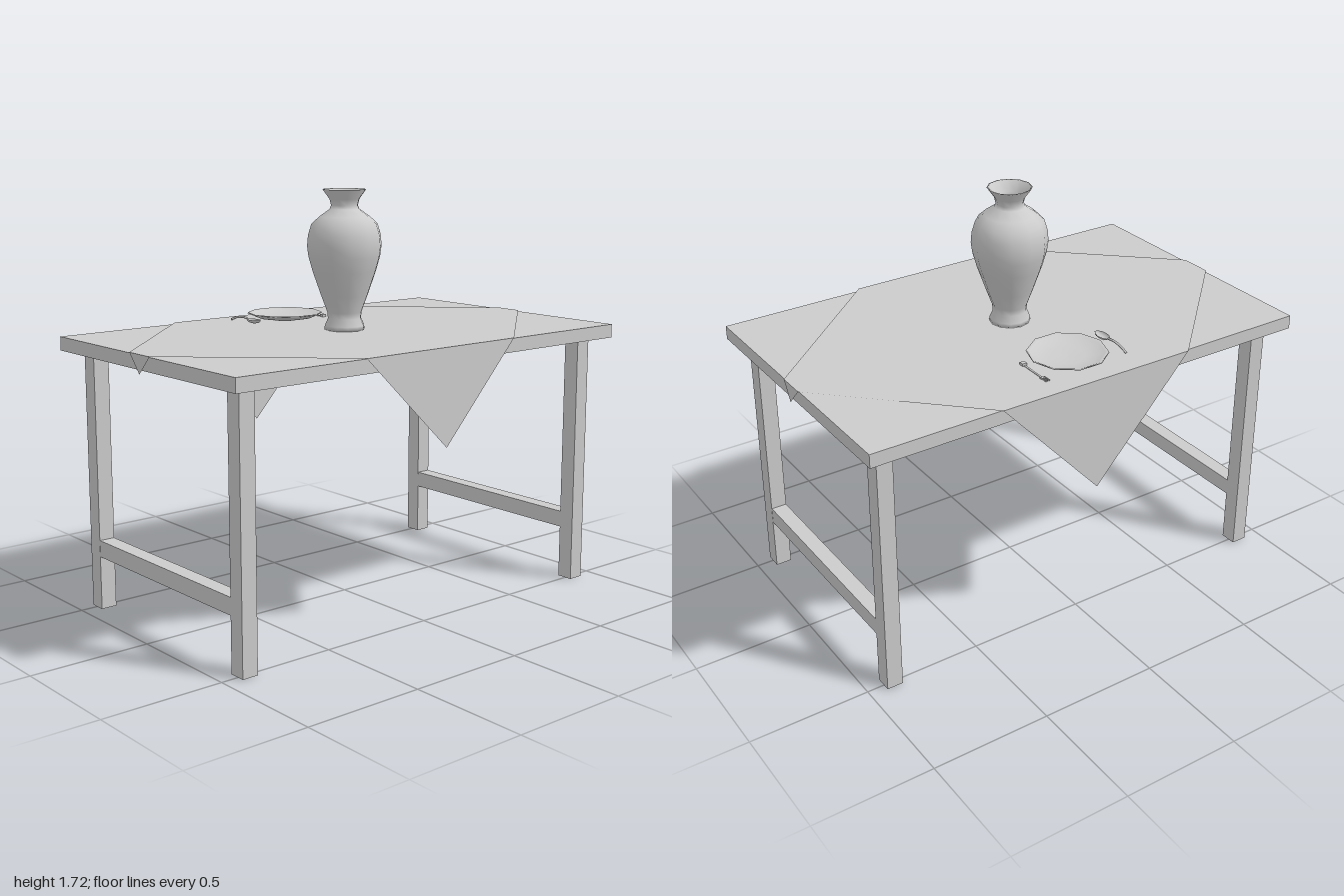
import * as THREE from 'three';

const grey = new THREE.MeshStandardMaterial({ color: 0xcccccc });
const flat = new THREE.MeshStandardMaterial({ color: 0xcccccc, flatShading: true });
const thin = new THREE.MeshStandardMaterial({ color: 0xcccccc, side: THREE.DoubleSide });
const thinFlat = new THREE.MeshStandardMaterial({ color: 0xcccccc, side: THREE.DoubleSide, flatShading: true });

const CLOTH_Y = 1.136;

function add(parent, name, geometry, material, x = 0, y = 0, z = 0) {
  const mesh = new THREE.Mesh(geometry, material);
  mesh.name = name;
  mesh.position.set(x, y, z);
  parent.add(mesh);
  return mesh;
}

const box = (parent, name, w, h, d, x, y, z) =>
  add(parent, name, new THREE.BoxGeometry(w, h, d), flat, x, y, z);

const lathe = (points, sides) =>
  new THREE.LatheGeometry(points.map(([r, y]) => new THREE.Vector2(r, y)), sides);

// Cloth laid diagonally: an eight-sided top with four hanging corners
function clothGeometry() {
  const rim = [
    [-0.41, 0.615], [0.37, 0.615], [0.998, 0.05], [0.998, -0.07],
    [0.44, -0.617], [-0.43, -0.624], [-0.998, -0.07], [-0.998, 0.07],
  ].map(([x, z]) => [x, CLOTH_Y, z]);
  const tips = [[0, 0.74, 0.618], [1, 1.06, 0], [0, 0.655, -0.62], [-1, 1.06, 0]];
  const positions = [];
  rim.forEach((a, i) => {
    const b = rim[(i + 1) % rim.length];
    positions.push(0, CLOTH_Y, 0, ...a, ...b);
    if (i % 2 === 0) positions.push(...a, ...tips[i / 2], ...b);
  });
  const geometry = new THREE.BufferGeometry();
  geometry.setAttribute('position', new THREE.Float32BufferAttribute(positions, 3));
  geometry.computeVertexNormals();
  return geometry;
}

export function createModel() {
  const model = new THREE.Group();
  model.name = 'laidTable';

  // Table
  const table = new THREE.Group();
  table.name = 'table';
  model.add(table);
  box(table, 'tableTop', 1.984, 0.057, 1.21, 0, 1.1035, -0.003);
  for (const sx of [-1, 1]) {
    for (const sz of [-1, 1]) box(table, 'leg', 0.068, 1.076, 0.07, sx * 0.893, 0.538, sz * 0.495);
    box(table, 'stretcher', 0.066, 0.07, 0.922, sx * 0.893, 0.26, 0);
  }

  add(model, 'tablecloth', clothGeometry(), thinFlat);

  // Vase, open at the mouth, with an inner wall and floor
  add(model, 'vase', lathe([
    [0, 1.137], [0.085, 1.137], [0.083, 1.155], [0.07, 1.185], [0.072, 1.21],
    [0.098, 1.28], [0.133, 1.38], [0.15, 1.44], [0.156, 1.485], [0.152, 1.53],
    [0.138, 1.575], [0.105, 1.605], [0.062, 1.635], [0.056, 1.65], [0.062, 1.675],
    [0.091, 1.715], [0.084, 1.715], [0.053, 1.675], [0.046, 1.65], [0.05, 1.635],
    [0.125, 1.57], [0.145, 1.485], [0.088, 1.28], [0.045, 1.18], [0, 1.18],
  ], 12), thin);

  // Ten-sided plate
  const plate = add(model, 'plate', lathe([
    [0, 1.138], [0.075, 1.138], [0.125, 1.147], [0.163, 1.163], [0.16, 1.168],
    [0.148, 1.163], [0.12, 1.153], [0.075, 1.145], [0, 1.143],
  ], 10), thin, 0, 0, -0.405);
  plate.rotation.y = Math.PI / 10;

  // Spoon with an oval bowl and a thin, bent handle
  const spoon = new THREE.Group();
  spoon.name = 'spoon';
  spoon.position.set(-0.207, 1.152, -0.355);
  model.add(spoon);
  const bowl = add(spoon, 'spoonBowl',
    new THREE.SphereGeometry(1, 10, 5, 0, Math.PI * 2, Math.PI / 2, Math.PI / 2), thin, 0, 0.006, 0);
  bowl.scale.set(0.022, 0.016, 0.043);
  const handlePath = new THREE.CatmullRomCurve3([
    new THREE.Vector3(0, 0.005, -0.041), new THREE.Vector3(0, 0.009, -0.07),
    new THREE.Vector3(0, 0.004, -0.12), new THREE.Vector3(0, -0.01, -0.16),
  ]);
  add(spoon, 'spoonHandle', new THREE.TubeGeometry(handlePath, 8, 0.005, 6), grey);

  // Fork, its slim neck lying low in the cloth
  const fork = new THREE.Group();
  fork.name = 'fork';
  fork.position.set(0.178, 1.139, -0.43);
  model.add(fork);
  box(fork, 'forkHandleEnd', 0.02, 0.012, 0.02, 0, 0.002, 0.07);
  box(fork, 'forkNeck', 0.008, 0.005, 0.13, 0, -0.003, 0);
  box(fork, 'forkHead', 0.02, 0.006, 0.012, 0, 0, -0.062);
  for (const x of [-0.008, 0, 0.008]) box(fork, 'tine', 0.003, 0.005, 0.03, x, 0.002, -0.08);

  return model;
}
